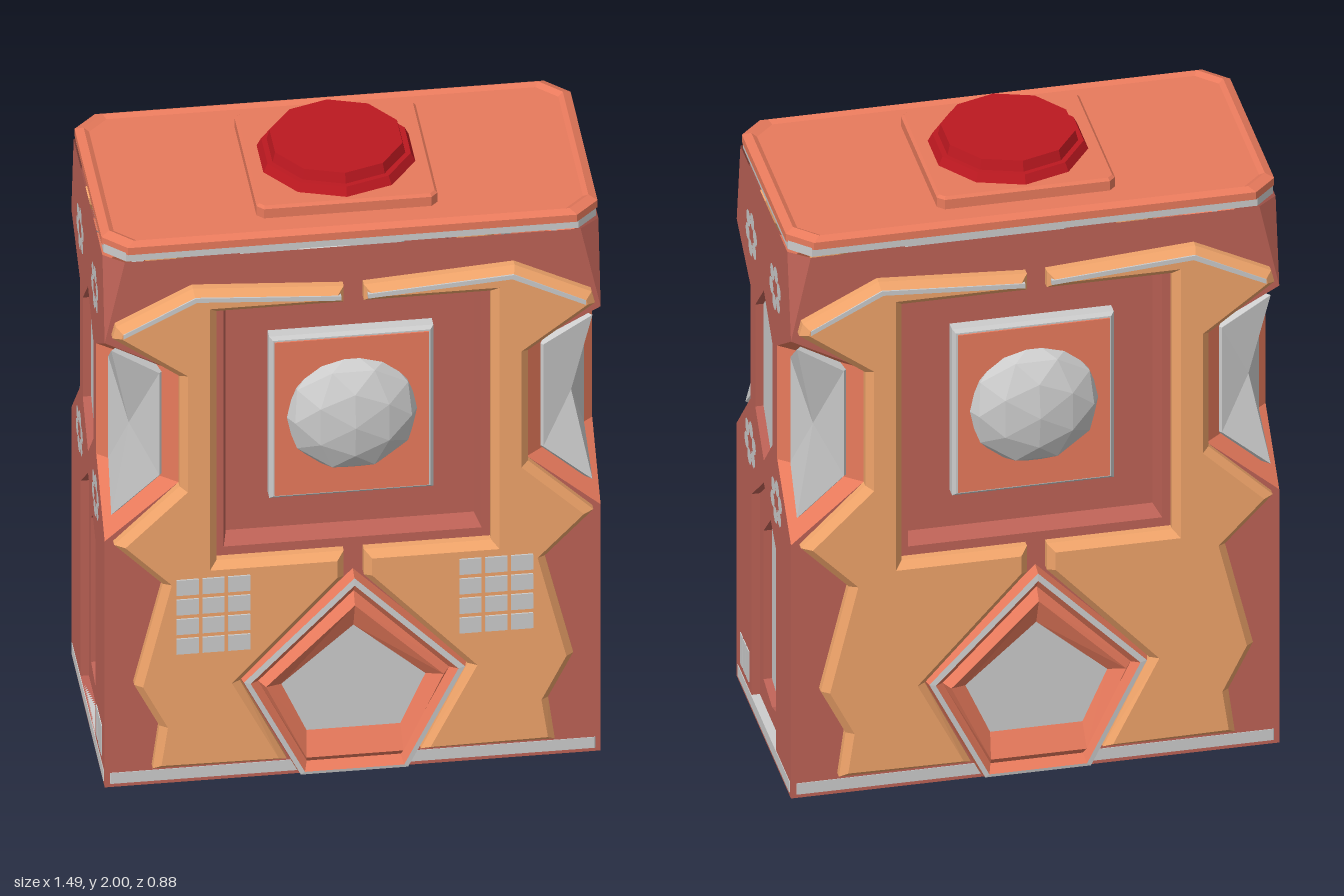
import * as THREE from 'three';

const material = (color) => new THREE.MeshStandardMaterial({ color, flatShading: true, side: THREE.DoubleSide });
const M = {
  body: material(0xbd6256), coral: material(0xe87a5c), orange: material(0xf0a46a),
  red: material(0xbc1820), grey: material(0xcccccc),
};

const HX = 0.74, HZ = 0.365, PANEL_Z = 0.41;
// Corner cut at each height: [y, cut along x, cut along z]
const LEVELS = [[0, 0, 0], [0.87, 0, 0], [1.06, 0.22, 0.185], [1.45, 0.22, 0.185], [1.57, 0, 0], [1.85, 0.06, 0.05]];

function add(parent, name, geometry, mat, x = 0, y = 0, z = 0) {
  const mesh = new THREE.Mesh(geometry, mat);
  mesh.name = name;
  mesh.position.set(x, y, z);
  parent.add(mesh);
  return mesh;
}

const shapeOf = (pts) => new THREE.Shape(pts.map(([x, y]) => new THREE.Vector2(x, y)));

// Full symmetric outline from its right half, listed bottom to top
function mirrored(half) {
  const other = half.filter(([x]) => x > 0).map(([x, y]) => [-x, y]).reverse();
  return half.concat(other);
}

const rect = (hx, y0, y1) => [[-hx, y0], [hx, y0], [hx, y1], [-hx, y1]];

function cutRect(hx, hy, c) {
  return [[hx - c, -hy], [hx, c - hy], [hx, hy - c], [hx - c, hy], [c - hx, hy], [-hx, hy - c], [-hx, c - hy], [c - hx, -hy]];
}

// Flat-shaded geometry from quads or triangles of [x, y, z] corners
function facets(faces) {
  const pos = [];
  for (const f of faces) for (let i = 1; i < f.length - 1; i++) pos.push(...f[0], ...f[i], ...f[i + 1]);
  const g = new THREE.BufferGeometry();
  g.setAttribute('position', new THREE.Float32BufferAttribute(pos, 3));
  g.computeVertexNormals();
  return g;
}

// Closed strip joining two outlines at two depths
function band(a, za, b, zb) {
  return facets(a.map((p, i) => {
    const j = (i + 1) % a.length;
    return [[...p, za], [...a[j], za], [...b[j], zb], [...b[i], zb]];
  }));
}

function face(parent, name, pts, holes, z, mat) {
  const s = shapeOf(pts);
  s.holes = holes.map(shapeOf);
  add(parent, name, new THREE.ShapeGeometry(s), mat, 0, 0, z);
}

function slab(parent, name, pts, z0, z1, mat, bevel = 0) {
  const g = new THREE.ExtrudeGeometry(shapeOf(pts), {
    depth: z1 - z0 - bevel, bevelEnabled: bevel > 0, bevelThickness: bevel, bevelSize: bevel, bevelOffset: -bevel, bevelSegments: 1,
  });
  return add(parent, name, g, mat, 0, 0, z0);
}

// Front or back face: body wall, two sculpted plates, window and pentagon emblem
function buildFront(hasGrilles) {
  const g = new THREE.Group();
  const window = rect(0.385, 0.82, 1.66);
  face(g, 'bodyWall', mirrored(LEVELS.map(([y, c]) => [HX - c, y])), [window], HZ, M.body);
  add(g, 'windowWalls', band(window, HZ, rect(0.37, 0.835, 1.645), 0.3), M.body);
  face(g, 'windowFloor', rect(0.37, 0.835, 1.645), [], 0.3, M.body);
  slab(g, 'windowTileEdge', rect(0.245, 0.96, 1.53), 0.3, 0.345, M.grey, 0.01);
  slab(g, 'windowTile', rect(0.23, 0.975, 1.515), 0.3, 0.35, M.coral);
  const dome = add(g, 'dome', new THREE.IcosahedronGeometry(0.205, 1), M.grey, 0, 1.25, 0.33);
  dome.scale.z = 0.53;

  // Plates, mirrored about the centre groove
  const plate = [[0.03, 1.67], [0.41, 1.67], [0.41, 0.79], [0.03, 0.79], [0.03, 0.7], [0.34, 0.36], [0.2, 0.07],
    [0.6, 0.07], [0.58, 0.22], [0.655, 0.37], [0.57, 0.72], [0.715, 0.87], [0.52, 1.06], [0.52, 1.45],
    [0.72, 1.6], [0.71, 1.64], [0.48, 1.755], [0.03, 1.725]];
  const trim = [[0.04, 1.69], [0.47, 1.72], [0.69, 1.61], [0.69, 1.625], [0.475, 1.735], [0.04, 1.705]];
  for (const s of [-1, 1]) {
    const flip = (pts) => pts.map(([x, y]) => [s * x, y]);
    slab(g, 'plate', flip(plate), HZ - 0.01, PANEL_Z, M.orange, 0.022);
    slab(g, 'plateTrim', flip(trim), HZ, PANEL_Z + 0.003, M.grey);
    if (!hasGrilles) continue;
    for (let c = 0; c < 3; c++) for (let r = 0; r < 4; r++)
      add(g, 'grilleCell', new THREE.BoxGeometry(0.066, 0.054, 0.01), M.grey, s * (0.345 + c * 0.077), 0.51 + r * 0.069, PANEL_Z);
  }

  // Pentagon emblem as nested rings: [apexY, sideX, sideY, baseX, baseY, depth, material]
  const rings = [
    [0.71, 0.34, 0.36, 0.17, 0.02, HZ, M.coral],
    [0.7, 0.33, 0.36, 0.16, 0.02, 0.405, M.coral],
    [0.675, 0.31, 0.355, 0.148, 0.03, 0.407, M.grey],
    [0.645, 0.285, 0.35, 0.14, 0.055, 0.385, M.coral],
    [0.61, 0.265, 0.345, 0.145, 0.085, 0.415, M.coral],
    [0.52, 0.215, 0.33, 0.14, 0.16, 0.38, M.coral],
  ];
  const penta = ([ay, sx, sy, bx, by]) => mirrored([[bx, by], [sx, sy], [0, ay]]);
  for (let i = 1; i < rings.length; i++)
    add(g, 'emblemRing', band(penta(rings[i - 1]), rings[i - 1][5], penta(rings[i]), rings[i][5]), rings[i][6]);
  face(g, 'emblemCentre', penta(rings[5]), [], 0.38, M.grey);
  return g;
}

// Side face: recessed hexagons, petal rings and vent bars; s puts the bars towards the front
function buildSide(s) {
  const g = new THREE.Group();
  const upper = mirrored([[0, 0.95], [0.115, 1.07], [0.115, 1.42], [0, 1.535]]);
  const outer = mirrored([[0.165, 0.05], [0.165, 0.74], [0, 0.875]]);
  const inner = mirrored([[0, 0.1], [0.115, 0.13], [0.115, 0.64], [0, 0.75]]);
  face(g, 'bodyWall', mirrored(LEVELS.map(([y, , c]) => [HZ - c, y])), [upper, outer], HX, M.body);
  add(g, 'upperRecess', band(upper, HX, upper, HX - 0.025), M.body);
  face(g, 'upperWindow', upper, [], HX - 0.025, M.grey);
  add(g, 'lowerRecess', band(outer, HX, outer, HX - 0.025), M.body);
  face(g, 'lowerFrame', outer, [inner], HX - 0.025, M.body);
  add(g, 'innerRecess', band(inner, HX - 0.025, inner, HX - 0.05), M.body);
  face(g, 'lowerWindow', inner, [], HX - 0.05, M.grey);
  for (const [x, y] of [[-0.16, 1.635], [0.16, 1.635], [-0.175, 0.91], [0.175, 0.91]])
    for (let i = 0; i < 6; i++) {
      const a = (i + 0.3) * Math.PI / 3;
      add(g, 'petal', new THREE.CircleGeometry(0.027, 10), M.grey, x + 0.052 * Math.cos(a), y + 0.052 * Math.sin(a), HX + 0.002);
    }
  for (let i = 0; i < 3; i++)
    add(g, 'ventBar', new THREE.BoxGeometry(0.032, 0.105, 0.006), M.grey, s * (0.21 + i * 0.042), 0.13, HX);
  return g;
}

// Chamfered corner with its faceted crystal, mirrored by sx and sz
function buildCorner(sx, sz) {
  const g = new THREE.Group();
  const at = ([x, y, z]) => [sx * x, y, sz * z];
  for (let i = 1; i < LEVELS.length; i++) {
    const [[y0, a0, b0], [y1, a1, b1]] = [LEVELS[i - 1], LEVELS[i]];
    const quad = [[HX - a0, y0, HZ], [HX, y0, HZ - b0], [HX, y1, HZ - b1], [HX - a1, y1, HZ]].map(at);
    add(g, 'cornerFacet', facets([quad]), i === 1 || i === 5 ? M.body : M.coral);
  }
  const outline = [[0.718, 1.53, 0.347], [0.573, 1.43, 0.335], [0.573, 1.07, 0.335],
    [0.718, 0.95, 0.347], [0.71, 1.07, 0.222], [0.71, 1.43, 0.222]];
  const hub = [0.66, 1.245, 0.305];
  const sunk = ([x, y, z]) => [x - 0.04, y, z - 0.04];
  const faces = [];
  outline.forEach((p, i) => {
    const q = outline[(i + 1) % 6];
    faces.push([p, q, hub].map(at), [p, q, sunk(q), sunk(p)].map(at));
  });
  add(g, 'cornerCrystal', facets(faces), M.grey);
  return g;
}

export function createModel() {
  const model = new THREE.Group();
  model.name = 'deviceCase';
  const place = (g, name, angle = 0) => {
    g.name = name;
    g.rotation.y = angle;
    model.add(g);
  };
  place(buildFront(true), 'front');
  place(buildFront(false), 'back', Math.PI);
  place(buildSide(-1), 'leftSide', Math.PI / 2);
  place(buildSide(1), 'rightSide', -Math.PI / 2);
  for (const sx of [-1, 1]) for (const sz of [-1, 1]) place(buildCorner(sx, sz), 'corner');

  // Base and lid are stacked upwards from flat outlines
  const stack = new THREE.Group();
  stack.name = 'baseAndLid';
  stack.rotation.x = -Math.PI / 2;
  model.add(stack);
  slab(stack, 'basePlate', cutRect(HX, HZ, 0.005), 0, 0.012, M.body);
  slab(stack, 'baseTrim', cutRect(HX + 0.002, HZ + 0.002, 0.02), 0.012, 0.05, M.grey);
  slab(stack, 'lidTrim', cutRect(0.735, 0.36, 0.06), 1.85, 1.88, M.grey);
  const rim = cutRect(HX, HZ, 0.07), lip = cutRect(0.715, 0.345, 0.065), tray = cutRect(0.7, 0.33, 0.06);
  slab(stack, 'lid', rim, 1.875, 1.9, M.coral);
  add(stack, 'lidRim', band(rim, 1.9, lip, 1.912), M.coral);
  add(stack, 'lidLip', band(lip, 1.912, tray, 1.902), M.coral);
  slab(stack, 'buttonBase', cutRect(0.27, 0.26, 0.02), 1.9, 1.94, M.coral, 0.008);

  // Ten-sided push button
  add(model, 'buttonCollar', new THREE.CylinderGeometry(0.225, 0.24, 0.03, 10), M.red, 0, 1.952, 0);
  add(model, 'buttonCap', new THREE.CylinderGeometry(0.2, 0.21, 0.04, 10), M.red, 0, 1.98, 0);
  return model;
}
